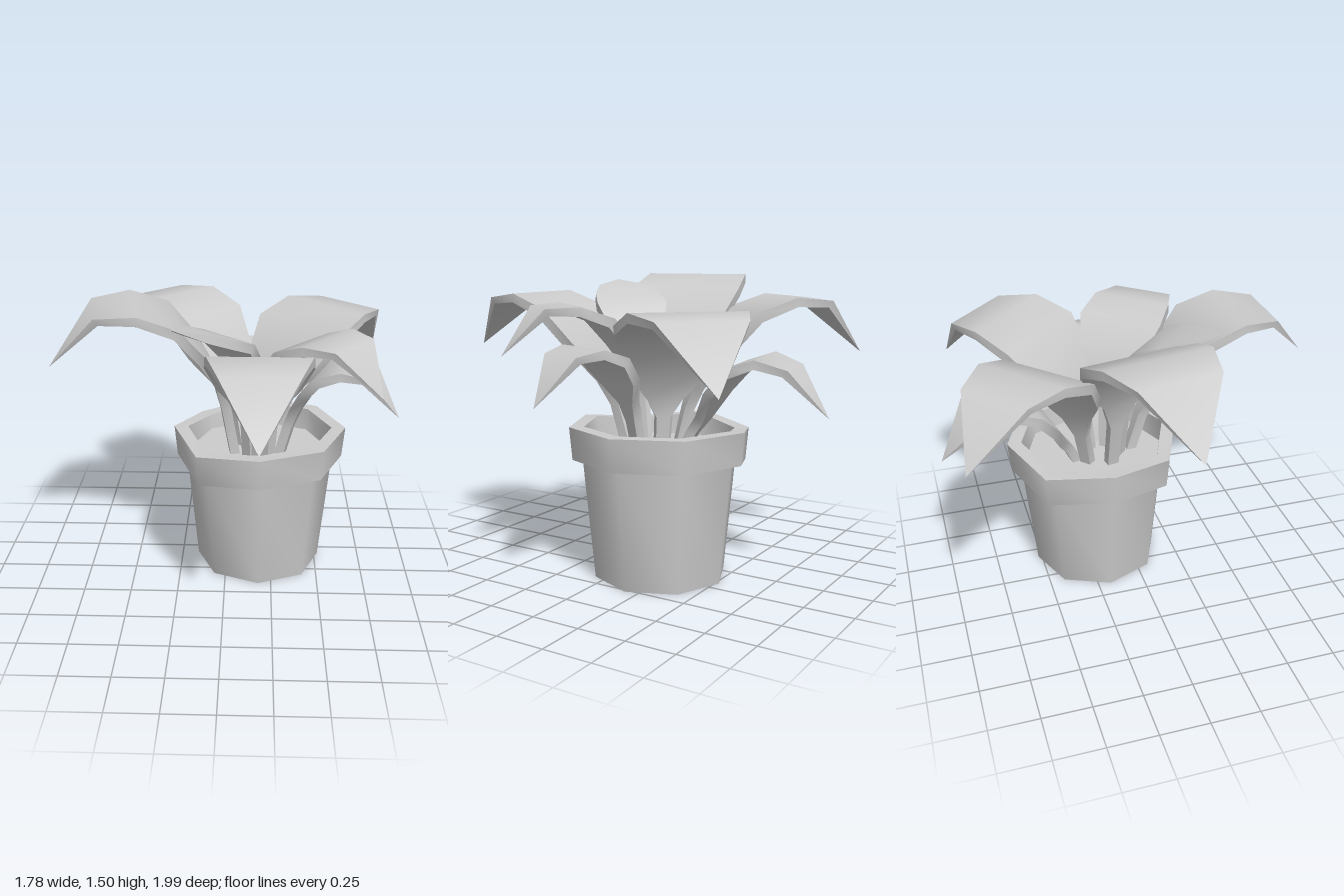
import * as THREE from 'three';
import { toCreasedNormals } from 'three/addons/utils/BufferGeometryUtils.js';

const CREASE = 0.9;
const POT_X = 0.18, POT_Z = -0.18;
const material = new THREE.MeshStandardMaterial({ color: 0xcccccc });

function addMesh(parent, name, geometry) {
  const mesh = new THREE.Mesh(toCreasedNormals(geometry, CREASE), material);
  mesh.name = name;
  parent.add(mesh);
  return mesh;
}

// Eight-sided turned shape from [radius, height] pairs
function turned(profile) {
  return new THREE.LatheGeometry(profile.map(([r, y]) => new THREE.Vector2(r, y)), 8);
}

// Stem and blade as one slab: four corners per station, closing to a point at the tip
function leafGeometry({ base, tip, half, peak, shoulder, tipY }) {
  const dx = tip[0] - base[0], dz = tip[1] - base[1];
  const length = Math.hypot(dx, dz);
  const dir = new THREE.Vector3(dx / length, 0, dz / length);
  const side = new THREE.Vector3(dir.z, 0, -dir.x);

  // Stations: position on the upper face, half width, thickness
  const stations = [];
  const baseY = peak - 0.48 * length;
  const footX = (base[0] + 0.17) / 2, footZ = (base[1] - 0.14) / 2;
  const add = (x, y, z, w, thick) => stations.push({ p: new THREE.Vector3(x, y, z), w, thick });
  add(footX, 0.63, footZ, 0.03, 0.05);
  add(footX + (base[0] - footX) * 0.55, 0.63 + (baseY - 0.63) * 0.65, footZ + (base[1] - footZ) * 0.55, 0.035, 0.05);
  const blade = [
    [0, baseY, 0.3, 0.05],
    [0.12, peak - 0.27 * length, 0.8, 0.05],
    [0.28, peak - 0.08 * length, 1, 0.05],
    [0.51, peak, 0.93, 0.045],
    [0.74, shoulder, 0.7, 0.04],
    [1, tipY, 0, 0],
  ];
  for (const [t, y, w, thick] of blade) add(base[0] + dx * t, y, base[1] + dz * t, w * half, thick);

  // Corner rings, with the underside offset square to the path
  const rings = stations.map(({ p, w, thick }, i) => {
    const before = stations[Math.max(i - 1, 0)].p;
    const after = stations[Math.min(i + 1, stations.length - 1)].p;
    const tangent = after.clone().sub(before).normalize();
    const under = new THREE.Vector3().crossVectors(tangent, side).normalize().multiplyScalar(-1);
    if (under.y > 0) under.negate();
    const corner = (s, d) => p.clone().addScaledVector(side, s * w).addScaledVector(under, d * thick);
    return [corner(1, 0), corner(-1, 0), corner(-1, 1), corner(1, 1)];
  });

  const positions = [];
  const tri = (...points) => points.forEach((v) => positions.push(v.x, v.y, v.z));
  for (let i = 0; i < rings.length - 1; i++) {
    for (let k = 0; k < 4; k++) {
      const n = (k + 1) % 4;
      tri(rings[i][k], rings[i][n], rings[i + 1][n]);
      if (i < rings.length - 2) tri(rings[i][k], rings[i + 1][n], rings[i + 1][k]);
    }
  }
  const geometry = new THREE.BufferGeometry();
  geometry.setAttribute('position', new THREE.Float32BufferAttribute(positions, 3));
  return geometry;
}

export function createModel() {
  const model = new THREE.Group();
  model.name = 'pottedPlant';

  // Pot
  const pot = new THREE.Group();
  pot.name = 'pot';
  pot.position.set(POT_X, 0, POT_Z);
  model.add(pot);
  addMesh(pot, 'potBody', turned([[0, 0], [0.34, 0], [0.4, 0.63]]));
  addMesh(pot, 'soil', turned([[0.39, 0.66], [0, 0.66]]));

  // Rim, sagging at its two left-hand diagonal corners
  const rim = turned([[0.37, 0.6], [0.45, 0.615], [0.465, 0.78], [0.39, 0.78], [0.37, 0.6]]);
  const pos = rim.attributes.position;
  for (let i = 0; i < pos.count; i++) {
    if (pos.getX(i) < -0.1 && Math.abs(pos.getZ(i)) > 0.1) pos.setY(i, pos.getY(i) - 0.04);
  }
  addMesh(pot, 'potRim', rim);

  // Leaves: plan position of blade base and tip, half width, heights
  const leaves = {
    frontLeaf: { base: [0.17, 0.12], tip: [0.17, 0.99], half: 0.26, peak: 1.417, shoulder: 1.39, tipY: 1.12 },
    sideLeafTall: { base: [-0.02, -0.1], tip: [-0.895, 0.055], half: 0.3, peak: 1.505, shoulder: 1.485, tipY: 1.19 },
    backLeafTall: { base: [0.05, -0.28], tip: [-0.58, -0.935], half: 0.26, peak: 1.41, shoulder: 1.39, tipY: 1.115 },
    backLeafBroad: { base: [0.21, -0.21], tip: [0.85, -0.855], half: 0.3, peak: 1.37, shoulder: 1.345, tipY: 1.05 },
    backLeafLow: { base: [0.11, -0.36], tip: [0, -1], half: 0.22, peak: 1.14, shoulder: 1.09, tipY: 0.85 },
    sideLeafLow: { base: [0.35, -0.12], tip: [0.89, 0.06], half: 0.18, peak: 1.195, shoulder: 1.165, tipY: 0.935 },
    frontLeafLeft: { base: [0.235, -0.09], tip: [0.765, 0.35], half: 0.23, peak: 1.38, shoulder: 1.37, tipY: 1.14 },
    frontLeafRight: { base: [0.12, -0.01], tip: [-0.245, 0.355], half: 0.185, peak: 1.41, shoulder: 1.45, tipY: 1.475 },
  };
  for (const [name, spec] of Object.entries(leaves)) addMesh(model, name, leafGeometry(spec));

  return model;
}
